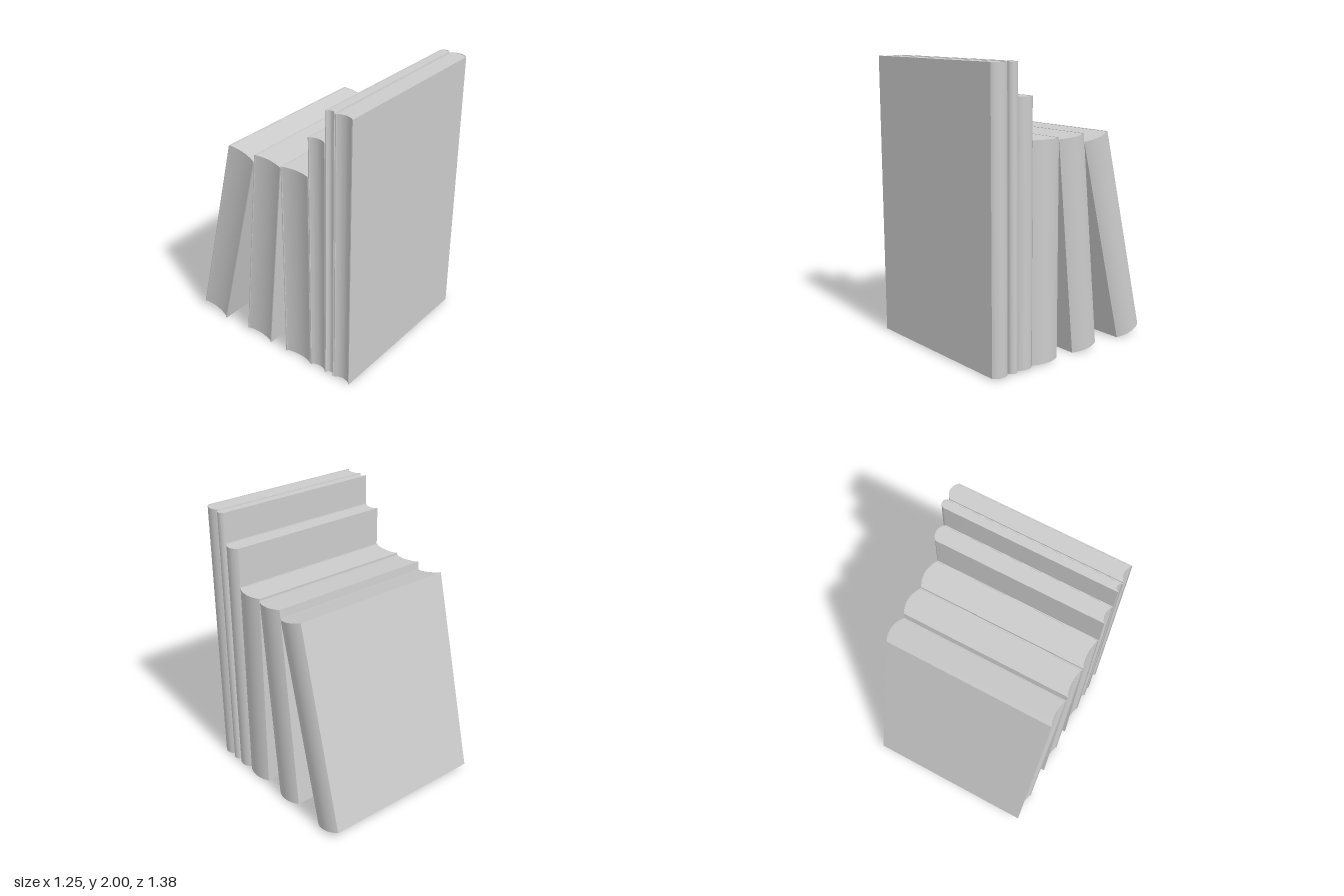
import * as THREE from 'three';
import { toCreasedNormals } from 'three/addons/utils/BufferGeometryUtils.js';

const FORE = -0.63, HINGE = 0.592, BULGE = 0.033, BOARD = 0.007;
const material = new THREE.MeshStandardMaterial({ color: 0xcccccc });

// Points of a circular arc from (x, y0) to (x, y1), bulging by rise towards +x
function arcPoints(x, y0, y1, rise, n = 16) {
  const half = (y1 - y0) / 2, mid = (y0 + y1) / 2;
  const r = (half * half + rise * rise) / (2 * rise);
  const sweep = Math.atan2(half, r - rise);
  return Array.from({ length: n + 1 }, (_, i) => {
    const a = sweep * (2 * i / n - 1);
    return new THREE.Vector2(x + rise - r + r * Math.cos(a), mid + r * Math.sin(a));
  });
}

// Extrudes a plan outline upwards; the outline's y becomes -z
function upright(points, height, name) {
  const geometry = new THREE.ExtrudeGeometry(new THREE.Shape(points), { depth: height, bevelEnabled: false });
  geometry.rotateX(-Math.PI / 2);
  const mesh = new THREE.Mesh(toCreasedNormals(geometry, 0.45), material);
  mesh.name = name;
  return mesh;
}

function makeBook(thick, height) {
  const book = new THREE.Group();
  const v = (x, y) => new THREE.Vector2(x, y);
  const inner = arcPoints(HINGE, BOARD, thick - BOARD, BULGE - BOARD);

  // Two boards joined by a rounded spine
  book.add(upright([
    v(FORE, 0), ...arcPoints(HINGE, 0, thick, BULGE), v(FORE, thick),
    v(FORE, thick - BOARD), ...inner.slice().reverse(), v(FORE, BOARD),
  ], height, 'cover'));

  // Page block with a hollow fore edge
  const hollow = arcPoints(FORE + 0.006, BOARD, thick - BOARD, 0.018).reverse();
  const pages = upright([...inner, ...hollow], height - 0.004, 'pages');
  pages.position.y = 0.002;
  book.add(pages);
  return book;
}

export function createModel() {
  const model = new THREE.Group();
  model.name = 'bookRow';
  // Front bottom edge z and y, thickness, height, backward foot tilt in radians
  const books = [
    [0.69, 0.01, 0.129, 1.99, 0],
    [0.556, 0.01, 0.07, 1.99, 0],
    [0.485, 0.01, 0.131, 1.775, 0],
    [0.352, 0.01, 0.226, 1.495, 0],
    [-0.02, 0.003, 0.226, 1.495, 0.097],
    [-0.47, 0.003, 0.227, 1.495, 0.246],
  ];
  books.forEach(([z, y, thick, height, tilt], i) => {
    const book = makeBook(thick, height);
    book.name = (tilt ? 'leaningBook' : 'standingBook') + (i + 1);
    book.position.set(0, y, z);
    book.rotation.x = tilt;
    model.add(book);
  });
  return model;
}
